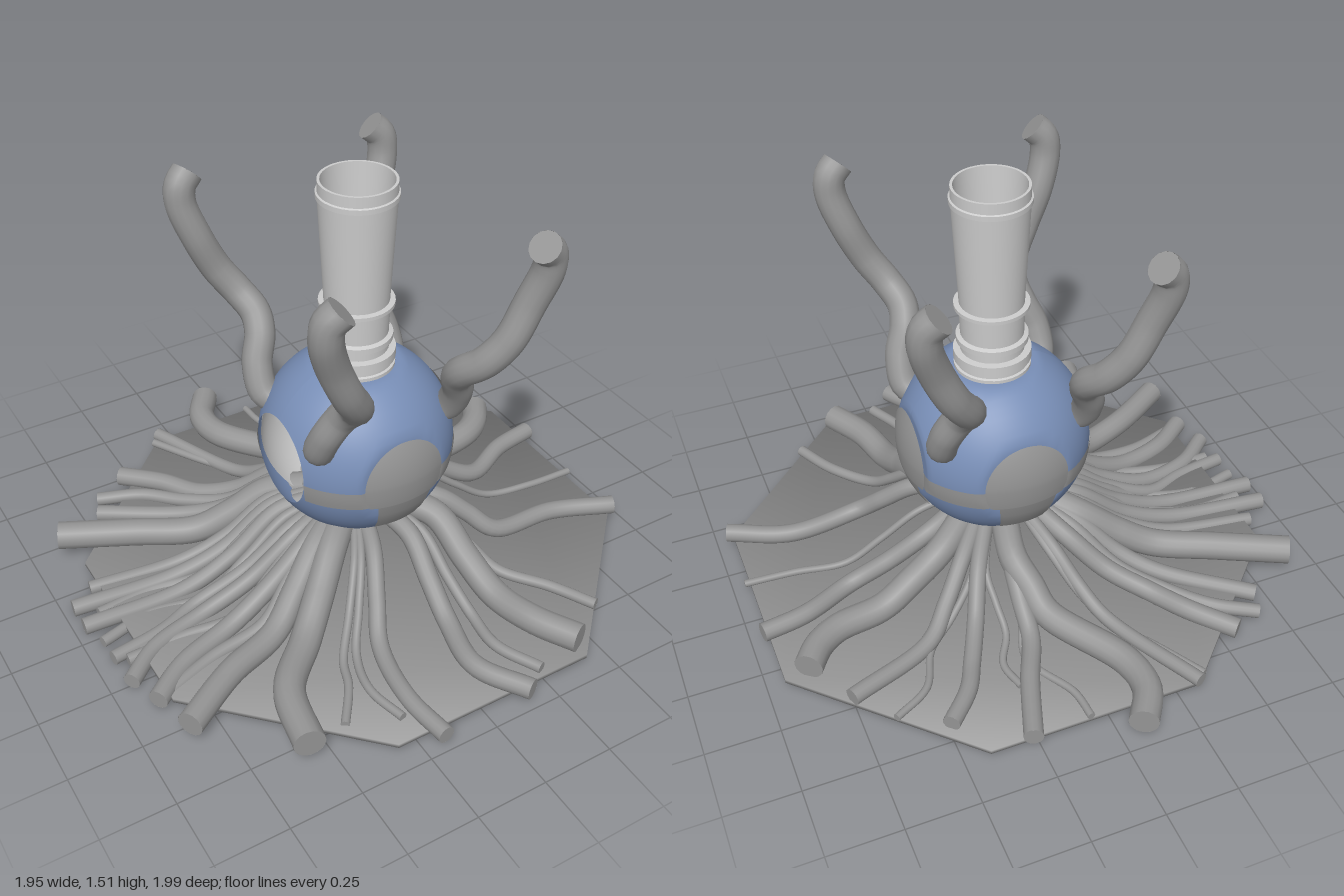
import * as THREE from 'three';

const CX = 0.045, CY = 0.55, CZ = 0.05; // centre of the vessel
const R = 0.335, CUT = 0.295;           // vessel radius and distance of its flats

const mat = (color) => new THREE.MeshStandardMaterial({ color, side: THREE.DoubleSide });
const light = mat(0xcccccc), grey = mat(0x949494), blue = mat(0x788eb6), pink = mat(0xe8ac9c);

function add(parent, name, geometry, material = grey) {
  const mesh = new THREE.Mesh(geometry, material);
  mesh.name = name;
  parent.add(mesh);
  return mesh;
}

// Smooth round pipe through points, closed at its far end
function pipe(parent, name, pts, r, steps) {
  const group = new THREE.Group();
  group.name = name;
  const curve = new THREE.CatmullRomCurve3(pts);
  add(group, name + 'Tube', new THREE.TubeGeometry(curve, steps, r, 14));
  const cap = add(group, name + 'End', new THREE.CircleGeometry(r, 14));
  cap.position.copy(curve.getPoint(1));
  cap.quaternion.setFromUnitVectors(new THREE.Vector3(0, 0, 1), curve.getTangent(1));
  parent.add(group);
}

// Press the vertices beyond a box onto its sides
function flatten(geometry, limit) {
  const p = geometry.attributes.position;
  const c = (v) => THREE.MathUtils.clamp(v, -limit, limit);
  for (let i = 0; i < p.count; i++) p.setXYZ(i, c(p.getX(i)), c(p.getY(i)), c(p.getZ(i)));
  geometry.computeVertexNormals();
  return geometry;
}

// Octagonal plate with soft shading that rolls over its rim
function plateGeometry(radius, thickness) {
  const corners = [];
  for (let i = 0; i < 8; i++) {
    const a = (i + 0.5) * Math.PI / 4;
    corners.push(new THREE.Vector2(radius * Math.cos(a), radius * Math.sin(a)));
  }
  const g = new THREE.ExtrudeGeometry(new THREE.Shape(corners), { depth: thickness, bevelEnabled: false });
  g.rotateX(-Math.PI / 2);
  const p = g.attributes.position, n = new THREE.Vector3();
  for (let i = 0; i < p.count; i++) {
    n.set(p.getX(i), 0, p.getZ(i)).setLength(1.2);
    n.y = p.getY(i) > thickness / 2 ? 1 : -1;
    n.normalize();
    g.attributes.normal.setXYZ(i, n.x, n.y, n.z);
  }
  return g;
}

// Domed keyhole plate: rows of [height, half width] laid on the sphere
function coverGeometry() {
  const rows = [];
  for (let i = 0; i <= 14; i++) {
    const a = (i / 14) * (Math.PI / 2);
    rows.push([0.153 * Math.cos(a), 0.148 * Math.sin(a) + 0.001]);
  }
  rows.push([-0.04, 0.144], [-0.074, 0.13], [-0.076, 0.102], [-0.12, 0.095], [-0.16, 0.088], [-0.205, 0.08]);
  const n = 16, pos = [], idx = [];
  rows.forEach(([y, w], j) => {
    for (let i = 0; i <= n; i++) {
      const x = (i / n * 2 - 1) * w;
      pos.push(x, y, Math.sqrt(0.341 ** 2 - x * x - y * y));
      if (j && i) {
        const d = j * (n + 1) + i, b = d - n - 1;
        idx.push(b - 1, d - 1, d, b - 1, d, b);
      }
    }
  });
  const g = new THREE.BufferGeometry();
  g.setAttribute('position', new THREE.Float32BufferAttribute(pos, 3));
  g.setIndex(idx);
  g.computeVertexNormals();
  return g;
}

// Roots: radius, then [x, z] points running outwards
const backRoots = [
  [0.05, [0.1, -0.27], [0.05, -0.45], [-0.12, -0.72], [-0.13, -0.85], [-0.06, -0.97]],
  [0.033, [0.11, -0.27], [0.13, -0.5], [0.2, -0.66], [0.28, -0.88]],
  [0.03, [0.22, -0.25], [0.35, -0.52], [0.4, -0.62], [0.5, -0.73]],
  [0.03, [0.26, -0.2], [0.45, -0.38], [0.76, -0.51]],
  [0.025, [-0.05, -0.27], [-0.15, -0.5], [-0.32, -0.87]],
  [0.015, [-0.03, -0.27], [-0.17, -0.55], [-0.24, -0.65], [-0.35, -0.84]],
  [0.013, [0.08, -0.27], [0.17, -0.55], [0.08, -0.75], [0.07, -0.86]],
  [0.013, [0.2, -0.27], [0.2, -0.45], [0.25, -0.55], [0.23, -0.66]],
  [0.013, [0.25, -0.26], [0.45, -0.4], [0.52, -0.55], [0.65, -0.63]],
];
const rightRoots = [
  [0.05, [0.32, -0.14], [0.55, -0.19], [0.72, -0.22], [0.8, -0.27], [0.86, -0.35]],
  [0.033, [0.33, -0.05], [0.62, -0.02], [0.8, -0.1], [0.96, -0.13]],
  [0.013, [0.33, 0.06], [0.6, 0.1], [0.78, 0.13], [0.96, 0.14]],
  [0.033, [0.31, 0.2], [0.48, 0.31], [0.74, 0.31], [0.96, 0.4]],
];
const frontRoots = [
  [0.05, [0.24, 0.28], [0.29, 0.58], [0.33, 0.74], [0.41, 0.89]],
  [0.02, [0.27, 0.3], [0.38, 0.47], [0.5, 0.62], [0.58, 0.77]],
  [0.035, [0.1, 0.33], [0.08, 0.6], [0.05, 0.8], [0.15, 0.98]],
  [0.02, [0.15, 0.33], [0.18, 0.6], [0.17, 0.75], [0.24, 0.91]],
  [0.03, [-0.05, 0.33], [-0.17, 0.57], [-0.21, 0.8], [-0.19, 0.99]],
  [0.015, [-0.12, 0.32], [-0.3, 0.55], [-0.34, 0.65], [-0.43, 0.78]],
  [0.015, [-0.1, 0.33], [-0.25, 0.55], [-0.29, 0.7], [-0.26, 0.85]],
  [0.053, [-0.16, 0.24], [-0.38, 0.44], [-0.53, 0.6], [-0.58, 0.82]],
];
const leftRoots = [
  [0.045, [-0.2, 0.2], [-0.45, 0.35], [-0.65, 0.43], [-0.86, 0.56]],
  [0.035, [-0.22, 0.17], [-0.55, 0.22], [-0.75, 0.28], [-0.89, 0.38]],
  [0.025, [-0.21, 0.18], [-0.45, 0.28], [-0.65, 0.3], [-0.84, 0.36]],
  [0.03, [-0.23, 0.12], [-0.6, 0.11], [-0.8, 0.16], [-0.93, 0.26]],
  [0.022, [-0.22, 0.14], [-0.5, 0.19], [-0.7, 0.16], [-0.9, 0.16]],
  [0.025, [-0.23, 0.08], [-0.6, 0.05], [-0.75, 0.1], [-0.94, 0.13]],
  [0.02, [-0.23, 0.03], [-0.55, 0.04], [-0.75, 0.0], [-0.94, 0.04]],
  [0.03, [-0.23, -0.02], [-0.6, -0.03], [-0.97, -0.05]],
  [0.022, [-0.23, -0.04], [-0.5, -0.05], [-0.7, -0.1], [-0.9, -0.09]],
  [0.03, [-0.23, -0.06], [-0.6, -0.11], [-0.97, -0.15]],
  [0.025, [-0.22, -0.1], [-0.55, -0.17], [-0.88, -0.22]],
  [0.05, [-0.2, -0.15], [-0.45, -0.25], [-0.65, -0.35], [-0.89, -0.47]],
  [0.03, [-0.18, -0.18], [-0.42, -0.37], [-0.7, -0.57]],
  [0.025, [-0.15, -0.2], [-0.4, -0.45], [-0.52, -0.57], [-0.67, -0.65]],
  [0.035, [-0.11, -0.23], [-0.34, -0.45], [-0.43, -0.58], [-0.55, -0.71]],
];

function addRoots(parent, name, list) {
  for (const [r, start, ...rest] of list) {
    // Extra midpoint keeps the descent from the vessel steep
    const mid = [(start[0] + rest[0][0]) / 2, (start[1] + rest[0][1]) / 2];
    const pts = [new THREE.Vector3(CX + (start[0] - CX) * 0.55, 0.29, CZ + (start[1] - CZ) * 0.55)];
    for (const [x, z] of [start, mid, ...rest]) {
      const d = Math.hypot(x - CX, z - CZ);
      const sag = r < 0.04 ? 0.035 * THREE.MathUtils.smoothstep(-x, 0.3, 0.8) : 0;
      const y = 0.045 + r - sag + (0.23 - r) * (1 - THREE.MathUtils.smoothstep(d, 0.22, 0.6));
      pts.push(new THREE.Vector3(x, y, z));
    }
    pipe(parent, name, pts, r, 36);
  }
}

export function createModel() {
  const model = new THREE.Group();
  model.name = 'rootedVessel';

  add(model, 'groundPlate', plateGeometry(0.968, 0.015)).position.set(CX, 0.035, 0.035);

  // Roots spreading over the plate
  const roots = new THREE.Group();
  roots.name = 'roots';
  model.add(roots);
  addRoots(roots, 'backRoot', backRoots);
  addRoots(roots, 'leftSideRoot', rightRoots);
  addRoots(roots, 'frontRoot', frontRoots);
  addRoots(roots, 'rightSideRoot', leftRoots);

  // Hollow vessel with a round opening on -x
  const vessel = new THREE.Group();
  vessel.name = 'vessel';
  vessel.position.set(CX, CY, CZ);
  model.add(vessel);
  const shell = new THREE.SphereGeometry(R, 64, 48, 0, Math.PI * 2, 0, Math.PI - Math.acos(CUT / R));
  shell.rotateZ(-Math.PI / 2);
  // Open the top under the chimney
  const p = shell.attributes.position, kept = [], ix = shell.index.array;
  for (let i = 0; i < ix.length; i += 3) {
    const tri = [ix[i], ix[i + 1], ix[i + 2]];
    if (!tri.every((k) => p.getY(k) > 0 && Math.hypot(p.getX(k), p.getZ(k)) < 0.12)) kept.push(...tri);
  }
  shell.setIndex(kept);
  add(vessel, 'shell', flatten(shell, CUT), blue);

  // Pale lining and belt, both interrupted at the opening
  const gap = 0.5, sweep = Math.PI * 2 - gap * 2;
  add(vessel, 'lining', flatten(new THREE.SphereGeometry(R - 0.01, 64, 24, gap, sweep,
    Math.PI * 0.22, Math.PI * 0.58), CUT - 0.008), light);
  const beltTop = Math.acos(-0.005 / R), beltBottom = Math.acos(-0.075 / R);
  add(vessel, 'belt', flatten(new THREE.SphereGeometry(R + 0.004, 72, 4, gap, sweep,
    beltTop, beltBottom - beltTop), CUT + 0.004));

  // Keyhole covers at the front, left and back
  for (const [name, turn] of [['frontCover', 0], ['leftCover', Math.PI / 2], ['backCover', Math.PI]])
    add(vessel, name, coverGeometry()).rotation.y = turn;

  // Pink core inside the vessel
  const core = new THREE.Group();
  core.name = 'core';
  vessel.add(core);
  for (const [x, r, len] of [[-0.02, 0.075, 0.09], [0.045, 0.055, 0.05]]) {
    const drum = add(core, 'coreDrum', new THREE.CylinderGeometry(r, r, len, 20), pink);
    drum.rotation.z = Math.PI / 2;
    drum.position.x = x;
  }

  // Chimney with collars and rings; each straight piece is its own band so that steps stay sharp
  const profile = [
    [0.086, 0.84], [0.13, 0.84], [0.13, 0.857], [0.122, 0.86], [0.122, 0.872],
    [0.131, 0.875], [0.131, 0.91], [0.108, 0.912], [0.108, 0.94], [0.121, 0.945], [0.121, 0.965],
    [0.106, 0.97], [0.11, 1.072], [0.126, 1.075], [0.126, 1.088], [0.108, 1.09], [0.127, 1.455],
    [0.133, 1.458], [0.133, 1.475], [0.127, 1.478], [0.127, 1.515], [0.118, 1.515], [0.086, 0.84],
  ];
  const chimney = new THREE.Group();
  chimney.name = 'chimney';
  chimney.position.set(CX, 0, CZ);
  model.add(chimney);
  for (let i = 1; i < profile.length; i++)
    add(chimney, 'chimneyBand', new THREE.LatheGeometry(
      [profile[i - 1], profile[i]].map(([r, y]) => new THREE.Vector2(r, y)), 40), light);

  // Four curved horns on the diagonals
  const horn = [
    [0.21, 0.67, 0.15], [0.25, 0.69, 0.185], [0.25, 0.78, 0.235], [0.215, 0.87, 0.275], [0.205, 0.925, 0.325],
    [0.235, 0.985, 0.39], [0.29, 1.07, 0.43], [0.35, 1.2, 0.445], [0.387, 1.32, 0.47], [0.382, 1.38, 0.478],
    [0.348, 1.415, 0.49],
  ];
  for (const sx of [-1, 1]) for (const sz of [-1, 1])
    pipe(model, (sz > 0 ? 'front' : 'back') + (sx > 0 ? 'Left' : 'Right') + 'Horn',
      horn.map(([x, y, z]) => new THREE.Vector3(CX + sx * x, y, CZ + sz * z)), 0.053, 60);

  return model;
}
